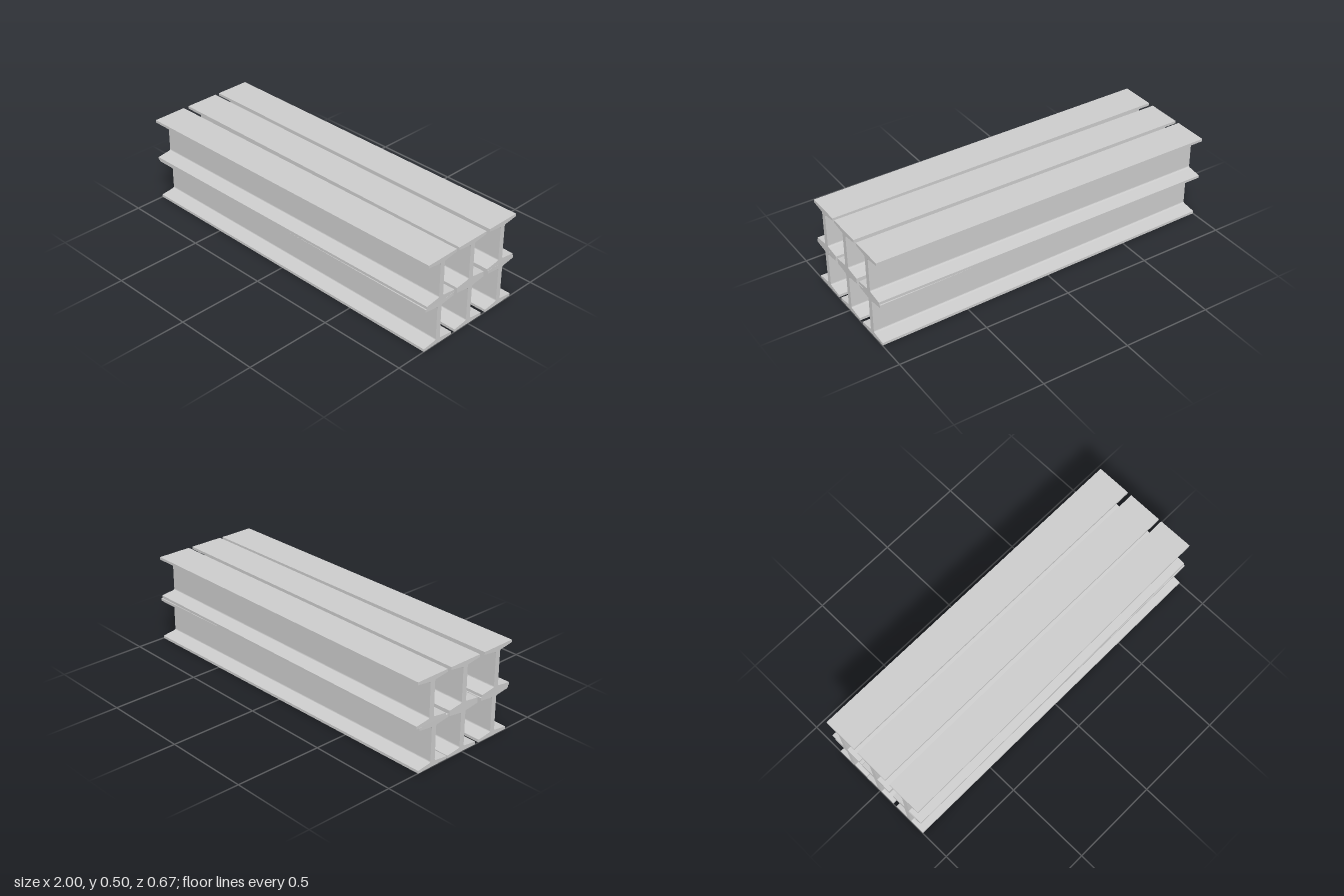
import * as THREE from 'three';

const LENGTH = 2, HEIGHT = 0.25, HALF_FLANGE = 0.1, HALF_WEB = 0.015;
const TIP = 0.015, ROOT = 0.025, FILLET = 0.009; // flange thickness at tip and root, root radius

// I-section with tapered flanges and rounded roots, standing on y = 0
function beamGeometry() {
  const s = new THREE.Shape();
  const w = HALF_FLANGE, t = HALF_WEB, h = HEIGHT, r = FILLET;
  s.moveTo(-w, 0);
  s.lineTo(w, 0);
  s.lineTo(w, TIP);
  s.lineTo(t + r, ROOT);
  s.quadraticCurveTo(t, ROOT + 0.001, t, ROOT + r);
  s.lineTo(t, h - ROOT - r);
  s.quadraticCurveTo(t, h - ROOT - 0.001, t + r, h - ROOT);
  s.lineTo(w, h - TIP);
  s.lineTo(w, h);
  s.lineTo(-w, h);
  s.lineTo(-w, h - TIP);
  s.lineTo(-t - r, h - ROOT);
  s.quadraticCurveTo(-t, h - ROOT - 0.001, -t, h - ROOT - r);
  s.lineTo(-t, ROOT + r);
  s.quadraticCurveTo(-t, ROOT + 0.001, -t - r, ROOT);
  s.lineTo(-w, TIP);
  s.closePath();
  const g = new THREE.ExtrudeGeometry(s, { depth: LENGTH, bevelEnabled: false, curveSegments: 4 });
  return g.translate(0, 0, -LENGTH / 2).rotateY(Math.PI / 2);
}

export function createModel() {
  const group = new THREE.Group();
  group.name = 'beamStack';
  const geometry = beamGeometry();
  const material = new THREE.MeshStandardMaterial({ color: 0xcccccc });

  // name, layer, z at the left end (+x), z at the right end (-x)
  const beams = [
    ['lowerFrontBeam', 0, 0.225, 0.225],
    ['lowerMiddleBeam', 0, 0, 0],
    ['lowerBackBeam', 0, -0.2325, -0.205],
    ['upperFrontBeam', 1, 0.2175, 0.233],
    ['upperMiddleBeam', 1, 0, 0],
    ['upperBackBeam', 1, -0.225, -0.225],
  ];
  for (const [name, layer, zLeft, zRight] of beams) {
    const beam = new THREE.Mesh(geometry, material);
    beam.name = name;
    beam.position.set(0, layer * HEIGHT, (zLeft + zRight) / 2);
    beam.rotation.y = Math.atan2(zRight - zLeft, LENGTH); // some lie slightly askew
    group.add(beam);
  }
  return group;
}
